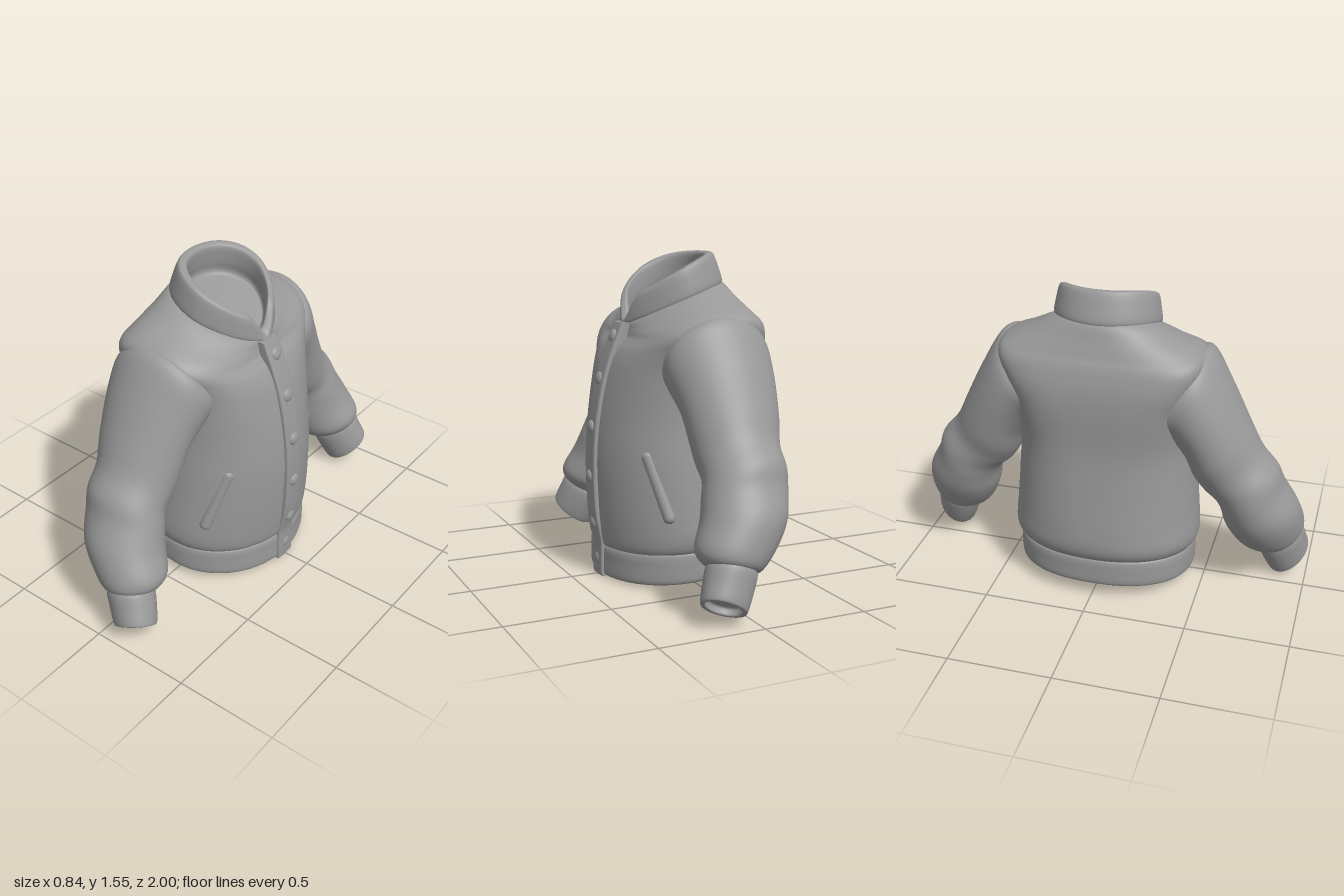
import * as THREE from 'three';

const SEG = 72;

// Smoothly resample a list of number rows (uniform Catmull-Rom on every column)
function resample(rows, steps) {
  const out = [];
  const at = i => rows[Math.max(0, Math.min(rows.length - 1, i))];
  for (let i = 0; i < rows.length - 1; i++) {
    for (let k = 0; k < steps; k++) {
      const t = k / steps;
      out.push(rows[i].map((b, c) => {
        const a = at(i - 1)[c], d = at(i + 1)[c], e = at(i + 2)[c];
        return b + 0.5 * t * (d - a + t * (2 * a - 5 * b + 4 * d - e + t * (3 * (b - d) + e - a)));
      }));
    }
  }
  out.push(rows[rows.length - 1]);
  return out;
}

// Skin closed rings; ringPoint(row, angle, t) gives [x, y, z]
function loft(rows, steps, ringPoint, flip = false) {
  const rings = resample(rows, steps), pos = [], idx = [];
  rings.forEach((row, i) => {
    for (let j = 0; j < SEG; j++) pos.push(...ringPoint(row, j / SEG * Math.PI * 2, i / (rings.length - 1)));
  });
  for (let i = 0; i < rings.length - 1; i++) {
    for (let j = 0; j < SEG; j++) {
      const a = i * SEG + j, b = i * SEG + (j + 1) % SEG, c = a + SEG, d = b + SEG;
      if (flip) idx.push(a, b, c, b, d, c);
      else idx.push(a, c, b, b, c, d);
    }
  }
  const g = new THREE.BufferGeometry();
  g.setAttribute('position', new THREE.Float32BufferAttribute(pos, 3));
  g.setIndex(idx);
  g.computeVertexNormals();
  return g;
}

const spow = (v, p) => Math.sign(v) * Math.pow(Math.abs(v), p);

// Plan outline with its own squareness at the front and the back
function plan(back, front, rz, a, nFront, nBack) {
  const c = Math.cos(a), s = Math.sin(a), p = 2 / (c < 0 ? nBack : nFront);
  return [(back + front) / 2 + (front - back) / 2 * spow(c, p), rz * spow(s, p)];
}

// Row: height, slope, curvature, back x, front x, half width, front and back squareness
function torsoPoint([y, s, q, back, front, rz, nFront = 2, nBack = 2.3], a) {
  const [x, z] = plan(back, front, rz, a, nFront, nBack);
  return [x, y + s * x + q * x * x, z];
}

export function createModel() {
  const jacket = new THREE.Group();
  jacket.name = 'jacket';
  const cloth = new THREE.MeshStandardMaterial({ color: 0x999999 });
  cloth.name = 'grey cloth';
  const add = (name, geometry) => {
    const m = new THREE.Mesh(geometry, cloth);
    m.name = name;
    jacket.add(m);
    return m;
  };

  // Torso from waist to neck, square across the upper back
  add('torso', loft([
    [0.17, -0.1, 0, -0.35, 0.33, 0.42, 2, 2.2],
    [0.2, -0.1, 0, -0.395, 0.358, 0.45, 2, 2.2],
    [0.265, -0.08, 0, -0.42, 0.37, 0.465, 2, 2.2],
    [0.4, 0, 0, -0.42, 0.382, 0.455, 2, 2.2],
    [0.6, 0, 0, -0.4, 0.386, 0.435, 2, 2.4],
    [0.8, 0, 0, -0.382, 0.365, 0.415, 2.1, 2.8],
    [1.0, 0, 0, -0.385, 0.32, 0.42, 2.4, 3.6],
    [1.11, -0.03, -0.05, -0.377, 0.278, 0.455, 2.6, 4.2],
    [1.185, -0.12, -0.3, -0.36, 0.245, 0.485, 2.8, 4.3],
    [1.235, -0.2, -0.6, -0.345, 0.228, 0.485, 2.8, 4],
    [1.27, -0.25, -0.75, -0.325, 0.221, 0.445, 2.6, 3.4],
    [1.305, -0.34, -0.75, -0.297, 0.217, 0.35, 2.3, 2.7],
    [1.345, -0.42, -0.66, -0.265, 0.21, 0.25, 2, 2.2],
    [1.345, -0.42, -0.66, -0.22, 0.17, 0.2, 2, 2.2],
  ], 5, torsoPoint));

  // Waistband with turned-in hem and recessed lining
  add('waistband', loft([
    [0.17, -0.1, 0, -0.01, -0.01, 0],
    [0.14, -0.1, 0, -0.25, 0.23, 0.3],
    [0.09, -0.107, 0, -0.35, 0.325, 0.405],
    [0.05, -0.107, 0, -0.357, 0.335, 0.417],
    [0.041, -0.107, 0, -0.37, 0.347, 0.43],
    [0.06, -0.107, 0, -0.382, 0.358, 0.443],
    [0.12, -0.1, 0, -0.384, 0.357, 0.445],
    [0.165, -0.1, 0, -0.384, 0.357, 0.444],
    [0.188, -0.1, 0, -0.375, 0.348, 0.435],
    [0.188, -0.1, 0, -0.34, 0.32, 0.4],
  ], 4, torsoPoint));

  // Stand collar, parted low at the front, with the lining inside
  add('collar', loft([
    [-0.08, -0.258, 0.21, 0.24],
    [0.06, -0.27, 0.225, 0.254],
    [0.5, -0.25, 0.226, 0.246],
    [0.92, -0.225, 0.222, 0.233],
    [1, -0.205, 0.21, 0.215],
    [0.92, -0.18, 0.192, 0.192],
    [0.4, -0.19, 0.18, 0.19],
    [0, -0.2, 0.17, 0.195],
    [-0.12, -0.16, 0.14, 0.16],
    [-0.12, -0.02, -0.02, 0],
  ], 5, ([k, back, front, rz], a) => {
    const [x, z] = plan(back, front, rz, a, 1.65, 2.1);
    const turn = Math.min(a, Math.PI * 2 - a);
    const f = k > 0 ? 0.12 + 0.88 * THREE.MathUtils.smoothstep(turn, 0.02, 0.52) : 1;
    const low = 1.345 - 0.421 * x - 0.668 * x * x;
    const high = 1.487 - 0.522 * x - 1.013 * x * x;
    return [x, low + (high - low) * k * f, z];
  }));

  // Front placket: row is height, outer x, half depth, half width
  add('placket', loft([
    [0.002, 0.355, 0, 0], [0.002, 0.365, 0.024, 0.052], [0.015, 0.369, 0.03, 0.056],
    [0.15, 0.368, 0.03, 0.056], [0.22, 0.378, 0.03, 0.055], [0.34, 0.398, 0.03, 0.055],
    [0.59, 0.402, 0.03, 0.055], [0.81, 0.38, 0.03, 0.055], [1.02, 0.332, 0.03, 0.055],
    [1.205, 0.258, 0.03, 0.055], [1.222, 0.248, 0.026, 0.05], [1.222, 0.235, 0, 0],
  ], 4, ([y, x, d, w], a) => [
    x - 0.03 + d * spow(Math.cos(a), 0.3), y, w * spow(Math.sin(a), 0.3),
  ]));

  // Snap buttons
  for (const [y, x] of [[1.16, 0.274], [0.96, 0.346], [0.73, 0.39], [0.49, 0.401], [0.26, 0.383], [0.08, 0.36]]) {
    const b = add('button', new THREE.SphereGeometry(0.032, 24, 16));
    b.scale.x = 0.5;
    b.rotation.z = Math.max(0, y - 0.6) * 0.65;
    b.position.set(x, y, 0);
  }

  for (const side of [1, -1]) {
    const label = side > 0 ? 'left' : 'right';

    // Sleeve rows: outer z, outer y, inner z, inner y, centre x, half depth, forward tilt
    const armPoint = wrinkle => ([oz, oy, iz, iy, cx, r, tilt], a, t) => {
      const c = Math.cos(a), s = Math.sin(a);
      const fold = 1 + wrinkle * Math.sin(30 * t + 2 * c) * THREE.MathUtils.smoothstep(t, 0.3, 0.6);
      return [
        cx + r * c * fold,
        (oy + iy) / 2 + ((oy - iy) / 2 * s + tilt * c) * fold,
        side * ((oz + iz) / 2 + (oz - iz) / 2 * s * fold),
      ];
    };
    add(label + 'Sleeve', loft([
      [0.27, 1.21, 0.15, 0.9, -0.07, 0.22, 0],
      [0.41, 1.25, 0.26, 0.84, -0.07, 0.25, 0],
      [0.5, 1.262, 0.33, 0.82, -0.07, 0.258, 0],
      [0.6, 1.1, 0.4, 0.74, -0.078, 0.238, 0],
      [0.7, 0.9, 0.44, 0.64, -0.075, 0.218, 0],
      [0.765, 0.77, 0.485, 0.57, -0.065, 0.2, 0],
      [0.845, 0.675, 0.54, 0.52, -0.058, 0.196, 0.002],
      [0.88, 0.58, 0.575, 0.45, -0.045, 0.202, 0.008],
      [0.945, 0.46, 0.597, 0.36, -0.01, 0.198, 0.02],
      [0.972, 0.345, 0.65, 0.25, 0.05, 0.178, 0.035],
      [0.962, 0.275, 0.73, 0.2, 0.085, 0.13, 0.04],
      [0.9, 0.26, 0.78, 0.2, 0.09, 0.08, 0.03],
    ], 6, armPoint(0.012), side > 0));

    // Cuff with a recessed opening
    add(label + 'Cuff', loft([
      [0.94, 0.29, 0.77, 0.21, 0.08, 0.09, 0.035],
      [0.968, 0.27, 0.75, 0.185, 0.09, 0.113, 0.042],
      [0.985, 0.2, 0.775, 0.105, 0.12, 0.112, 0.046],
      [0.998, 0.145, 0.805, 0.038, 0.147, 0.105, 0.05],
      [0.995, 0.13, 0.818, 0.032, 0.152, 0.097, 0.048],
      [0.98, 0.128, 0.832, 0.042, 0.151, 0.084, 0.042],
      [0.965, 0.15, 0.82, 0.065, 0.14, 0.082, 0.04],
      [0.94, 0.15, 0.84, 0.085, 0.136, 0.06, 0.03],
      [0.888, 0.12, 0.888, 0.12, 0.134, 0, 0],
    ], 4, armPoint(0), side > 0));

    // Slanted pocket welt
    const top = new THREE.Vector3(0.24, 0.64, side * 0.31);
    const low = new THREE.Vector3(0.163, 0.345, side * 0.398);
    const axis = top.clone().sub(low);
    const welt = add(label + 'PocketWelt', new THREE.CapsuleGeometry(0.03, axis.length() - 0.02, 6, 16));
    welt.position.copy(top).add(low).multiplyScalar(0.5);
    welt.quaternion.setFromUnitVectors(new THREE.Vector3(0, 1, 0), axis.normalize());
  }
  return jacket;
}
